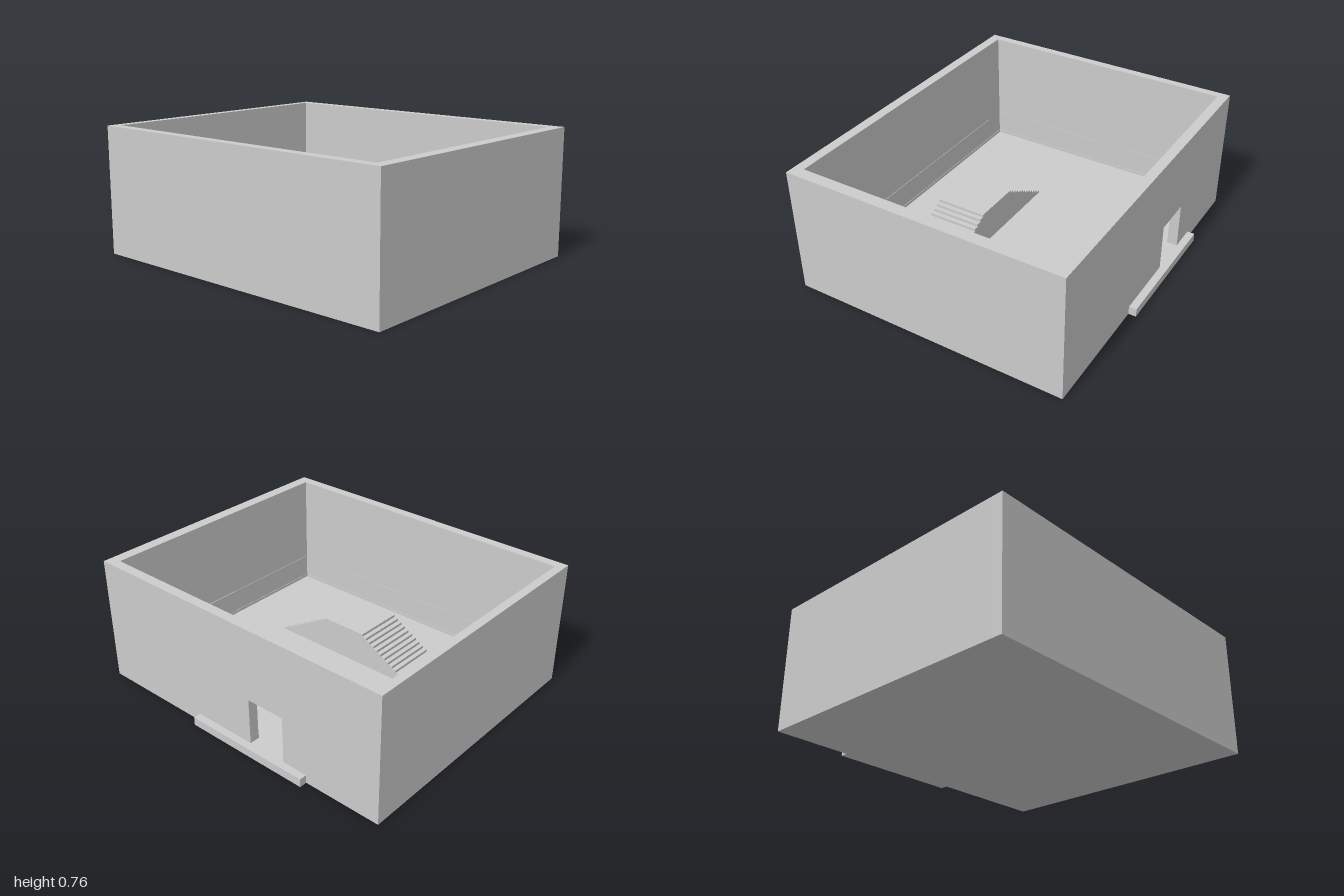
import * as THREE from 'three';

const material = new THREE.MeshStandardMaterial({ color: 0xcccccc, flatShading: true });

// Outer and inner limits of the room
const OUT = { x0: -0.86, x1: 0.81, z0: -1, z1: 1 };
const IN = { x0: -0.8, x1: 0.75, z0: -0.95, z1: 0.93 };
const HEIGHT = 0.76, FLOOR = 0.05;

function addMesh(parent, name, geometry) {
  const mesh = new THREE.Mesh(geometry, material);
  mesh.name = name;
  parent.add(mesh);
  return mesh;
}

// Box given by its limits on each axis
function addBox(parent, name, x0, x1, y0, y1, z0, z1) {
  const geometry = new THREE.BoxGeometry(x1 - x0, y1 - y0, z1 - z0);
  geometry.translate((x0 + x1) / 2, (y0 + y1) / 2, (z0 + z1) / 2);
  return addMesh(parent, name, geometry);
}

// Side outline in (z, y), extruded between two x positions
function extrudeAlongX(shape, x0, x1) {
  const geometry = new THREE.ExtrudeGeometry(shape, { depth: x1 - x0, bevelEnabled: false });
  geometry.rotateY(-Math.PI / 2);
  geometry.translate(x1, 0, 0);
  return geometry;
}

function rectangle(Type, z0, z1, y0, y1) {
  const path = new Type();
  path.moveTo(z0, y0);
  path.lineTo(z1, y0);
  path.lineTo(z1, y1);
  path.lineTo(z0, y1);
  path.closePath();
  return path;
}

// Two flights meeting at a flat landing
function stairShape() {
  const steps = 12, bottomZ = -0.43, landingZ0 = -0.09, landingZ1 = 0.21, endZ = 0.55, top = 0.26;
  const run = (landingZ0 - bottomZ) / steps;
  const rise = (top - FLOOR) / (steps + 1);
  const points = [new THREE.Vector2(endZ, FLOOR), new THREE.Vector2(bottomZ, FLOOR)];
  for (let i = 0; i <= steps; i++) {
    const z = bottomZ + i * run;
    if (i > 0) points.push(new THREE.Vector2(z, FLOOR + i * rise));
    points.push(new THREE.Vector2(z, FLOOR + (i + 1) * rise));
  }
  for (let i = steps; i >= 0; i--) {
    const z = landingZ1 + (steps - i) * run;
    points.push(new THREE.Vector2(z, FLOOR + (i + 1) * rise));
    if (i > 0) points.push(new THREE.Vector2(z, FLOOR + i * rise));
  }
  return new THREE.Shape(points);
}

export function createModel() {
  const group = new THREE.Group();
  group.name = 'openRoom';

  // Floor slab and plain walls
  addBox(group, 'floor', IN.x0, IN.x1, 0, FLOOR, IN.z0, IN.z1);
  addBox(group, 'rightWall', OUT.x0, IN.x0, 0, HEIGHT, OUT.z0, OUT.z1);
  addBox(group, 'frontWall', IN.x0, IN.x1, 0, HEIGHT, IN.z1, OUT.z1);
  addBox(group, 'backWall', IN.x0, IN.x1, 0, HEIGHT, OUT.z0, IN.z0);

  // Wall with the doorway
  const wall = rectangle(THREE.Shape, OUT.z0, OUT.z1, 0, HEIGHT);
  wall.holes.push(rectangle(THREE.Path, -0.37, -0.13, FLOOR, 0.33));
  addMesh(group, 'doorWall', extrudeAlongX(wall, IN.x1, OUT.x1));

  // Doorstep outside
  addBox(group, 'doorstep', OUT.x1, 0.855, 0, FLOOR, -0.53, 0.27);

  // Stairs and landing inside
  addMesh(group, 'stairs', extrudeAlongX(stairShape(), -0.48, -0.17));

  // Very thin skirting and rail lines on the inner walls
  const t = 0.003;
  for (const [name, y0, y1, inset] of [['skirting', FLOOR, 0.068, 0], ['wallRail', 0.209, 0.213, 0.14]]) {
    addBox(group, name + 'Back', IN.x0, IN.x1, y0, y1, IN.z0, IN.z0 + t);
    addBox(group, name + 'Front', IN.x0, IN.x1, y0, y1, IN.z1 - t, IN.z1);
    addBox(group, name + 'Right', IN.x0, IN.x0 + t, y0, y1, IN.z0 + inset, IN.z1 - inset);
    // Left side stops either side of the doorway
    addBox(group, name + 'LeftRear', IN.x1 - t, IN.x1, y0, y1, IN.z0 + inset, -0.37);
    addBox(group, name + 'LeftFront', IN.x1 - t, IN.x1, y0, y1, -0.13, IN.z1 - inset);
  }

  return group;
}
